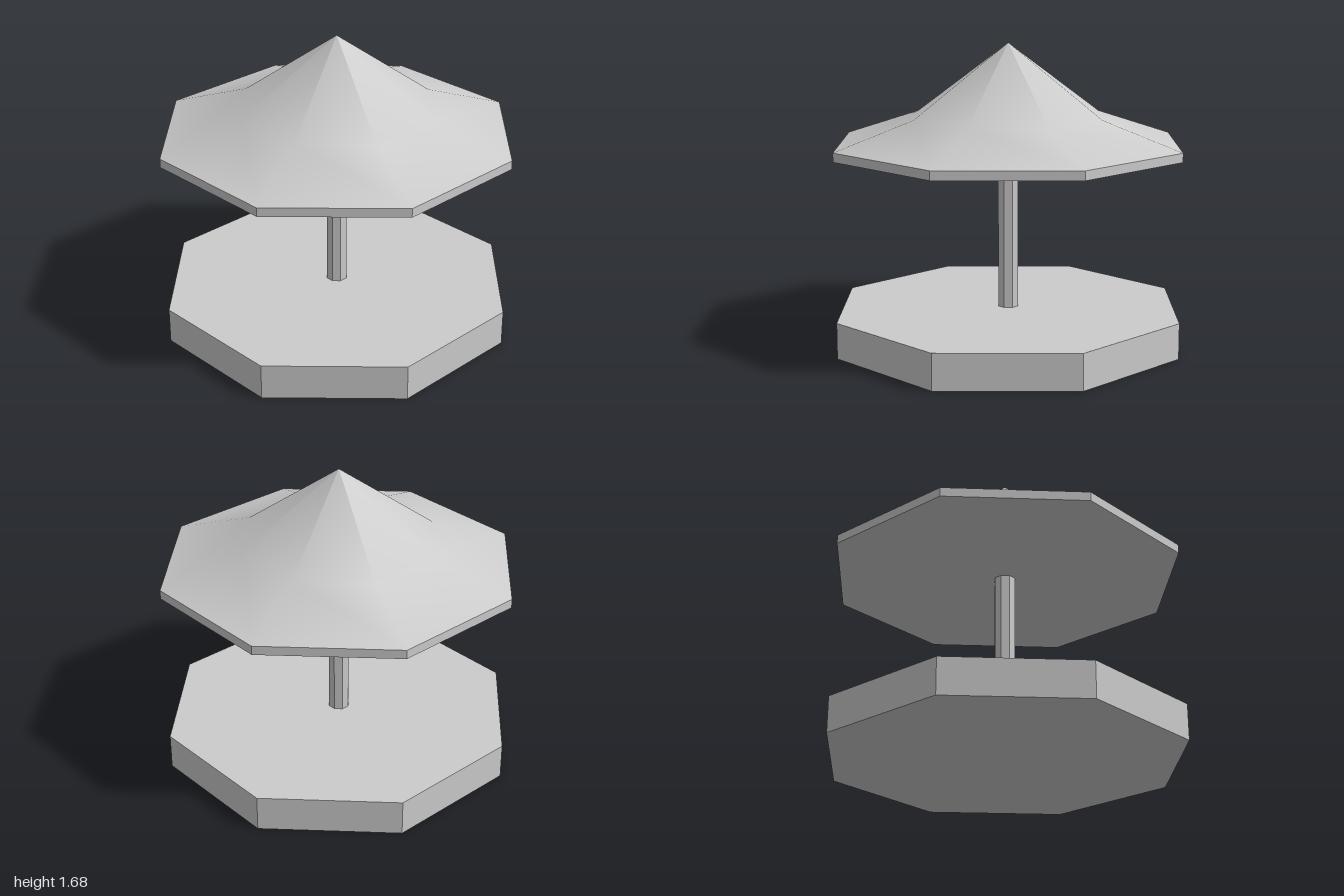
import * as THREE from 'three';

const SIDES = 8;

export function createModel() {
  const group = new THREE.Group();
  const flat = new THREE.MeshStandardMaterial({ color: 0xcccccc, flatShading: true });
  const smooth = new THREE.MeshStandardMaterial({ color: 0xcccccc });

  // Octagonal prism standing between two heights, one corner facing the front
  function prism(name, radius, y0, y1) {
    const mesh = new THREE.Mesh(new THREE.CylinderGeometry(radius, radius, y1 - y0, SIDES), flat);
    mesh.position.y = (y0 + y1) / 2;
    mesh.name = name;
    group.add(mesh);
  }

  prism('base', 1, 0, 0.2);
  prism('pole', 0.06, 0.2, 1.08);
  prism('canopyRim', 1, 1.08, 1.13);

  // Flared, softly shaded canopy rising to a point
  const profile = [[1, 1.13], [0.55, 1.28], [0, 1.68]].map(([r, y]) => new THREE.Vector2(r, y));
  const canopy = new THREE.Mesh(new THREE.LatheGeometry(profile, SIDES), smooth);
  canopy.name = 'canopy';
  group.add(canopy);

  return group;
}
